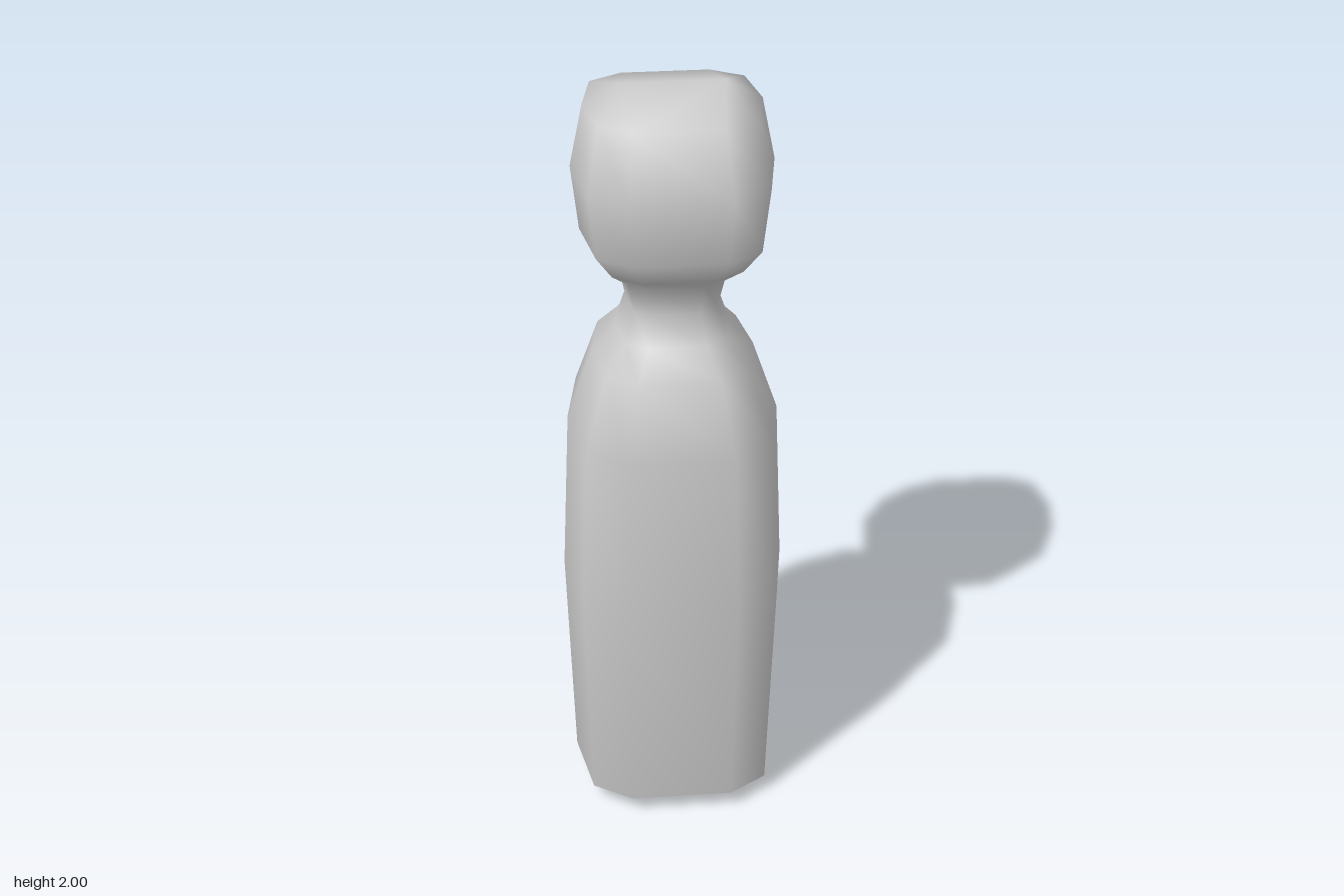
import * as THREE from 'three';

// Ten-sided outline with flat front and back, and a ridge point on each side
const OUTLINE = [
  [1, 0], [0.875, 0.75], [0.5, 1], [-0.5, 1], [-0.875, 0.75],
  [-1, 0], [-0.875, -0.75], [-0.5, -1], [0.5, -1], [0.875, -0.75],
];

// Rings from base to crown: height, half width, half depth
const RINGS = [
  [0.02, 0.225, 0.2], [0.05, 0.265, 0.267], [0.65, 0.288, 0.288],
  [1.09, 0.271, 0.271], [1.28, 0.206, 0.206], [1.35, 0.145, 0.142],
  [1.43, 0.118, 0.118], [1.51, 0.137, 0.137], [1.55, 0.185, 0.185],
  [1.62, 0.232, 0.236], [1.79, 0.252, 0.253], [1.95, 0.22, 0.19],
];

function pegGeometry() {
  const n = OUTLINE.length;
  const pos = [];
  const index = [];
  const quad = (a, b, c, d) => index.push(a, b, c, a, c, d);

  // Walls between successive rings
  RINGS.forEach(([y, w, d], r) => {
    OUTLINE.forEach(([x, z], i) => {
      pos.push(x * w, y, z * d);
      if (r === 0) return;
      const j = (i + 1) % n;
      const lo = (r - 1) * n, hi = r * n;
      quad(lo + i, hi + i, hi + j, lo + j);
    });
  });

  // Caps rise to a short ridge running left to right
  const cap = (base, y, up) => {
    const right = pos.length / 3, left = right + 1;
    pos.push(0.13, y, 0, -0.13, y, 0);
    const face = (a, b, c, d) => (up ? quad(a, b, c, d) : quad(d, c, b, a));
    face(right, left, base + 3, base + 2);
    face(right, base + 2, base + 1, base);
    face(left, base + 5, base + 4, base + 3);
    face(left, right, base + 8, base + 7);
    face(right, base, base + 9, base + 8);
    face(left, base + 7, base + 6, base + 5);
  };
  cap(0, 0, false);
  cap((RINGS.length - 1) * n, 2, true);

  const geometry = new THREE.BufferGeometry();
  geometry.setAttribute('position', new THREE.Float32BufferAttribute(pos, 3));
  geometry.setIndex(index);
  geometry.computeVertexNormals();
  return geometry;
}

export function createModel() {
  const group = new THREE.Group();
  group.name = 'pegFigure';
  const material = new THREE.MeshStandardMaterial({ color: 0xcccccc });
  // Body, neck and head form one continuous skin
  const peg = new THREE.Mesh(pegGeometry(), material);
  peg.name = 'bodyAndHead';
  group.add(peg);
  return group;
}
